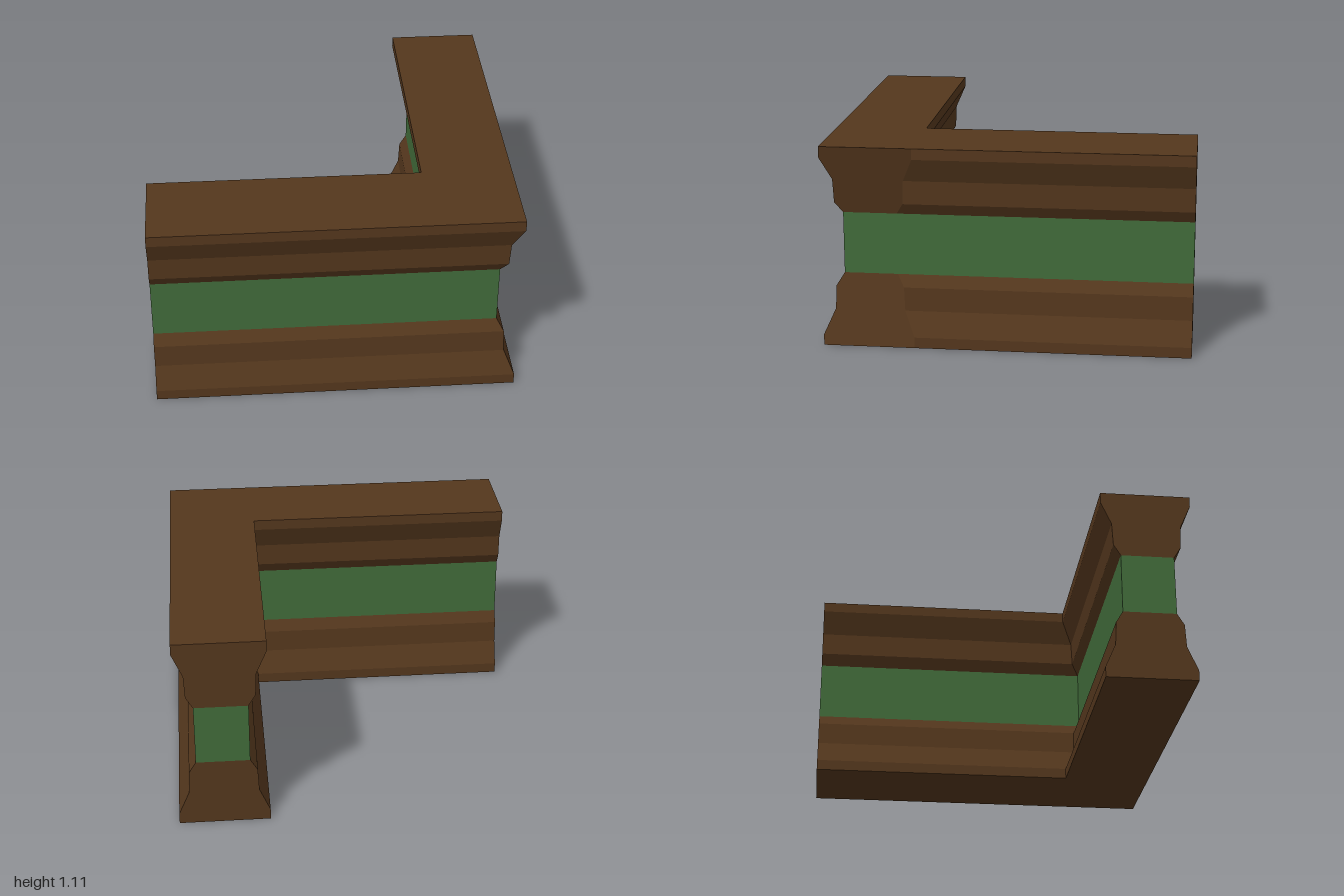
import * as THREE from 'three';

const BROWN = 0x54371d, GREEN = 0x416b3a;

// L-shaped outline, moved inwards by d on its long sides; the two ends stay flat
const outline = (d) => [
  [-1, 1 - d], [1 - d, 1 - d], [1 - d, 0.5 + d], [1 - d, -1],
  [0.5 + d, -1], [0.5 + d, 0.5 + d], [-1, 0.5 + d],
];
const CORNER = 1; // the outline edge that closes the front leg at the corner

// Stacks outlines along a profile of [height, inset] pairs
function band(name, color, profile, cap) {
  const rings = profile.map(([y, d]) => outline(d).map(([x, z]) => new THREE.Vector3(x, y, z)));
  const pos = [], corner = [];
  const tri = (...pts) => pts.forEach((p) => pos.push(p.x, p.y, p.z));
  const quad = (a, b, c, d) => { tri(a, b, c); tri(a, c, d); };

  // Sides
  for (let k = 0; k < rings.length - 1; k++) {
    const lo = rings[k], hi = rings[k + 1];
    for (let i = 0; i < lo.length; i++) {
      const j = (i + 1) % lo.length;
      if (i === CORNER) corner.push(pos.length / 3);
      quad(lo[i], lo[j], hi[j], hi[i]);
    }
  }

  // Flat top or bottom
  if (cap === 'top') {
    const p = rings[rings.length - 1];
    quad(p[0], p[1], p[5], p[6]);
    tri(p[1], p[2], p[5]);
    quad(p[2], p[3], p[4], p[5]);
  } else if (cap === 'bottom') {
    const p = rings[0];
    quad(p[6], p[5], p[1], p[0]);
    tri(p[5], p[2], p[1]);
    quad(p[5], p[4], p[3], p[2]);
  }

  const geo = new THREE.BufferGeometry();
  geo.setAttribute('position', new THREE.Float32BufferAttribute(pos, 3));
  geo.computeVertexNormals();

  // The corner end is shaded as one single face
  const [y0, d0] = profile[0], [y1, d1] = profile[profile.length - 1];
  const n = new THREE.Vector3(y1 - y0, d1 - d0, 0).normalize();
  for (const s of corner) {
    for (let v = s; v < s + 6; v++) geo.attributes.normal.setXYZ(v, n.x, n.y, n.z);
  }

  const mesh = new THREE.Mesh(geo, new THREE.MeshStandardMaterial({ color }));
  mesh.name = name;
  return mesh;
}

export function createModel() {
  const group = new THREE.Group();
  group.name = 'cornerWall';
  group.add(
    band('baseMoulding', BROWN, [[0, 0], [0.06, 0], [0.193, 0.058], [0.323, 0.064], [0.387, 0.103]], 'bottom'),
    band('middlePanel', GREEN, [[0.387, 0.103], [0.728, 0.103]]),
    band('topMoulding', BROWN, [[0.728, 0.103], [0.792, 0.064], [0.922, 0.058], [1.053, 0], [1.113, 0]], 'top'),
  );
  return group;
}
